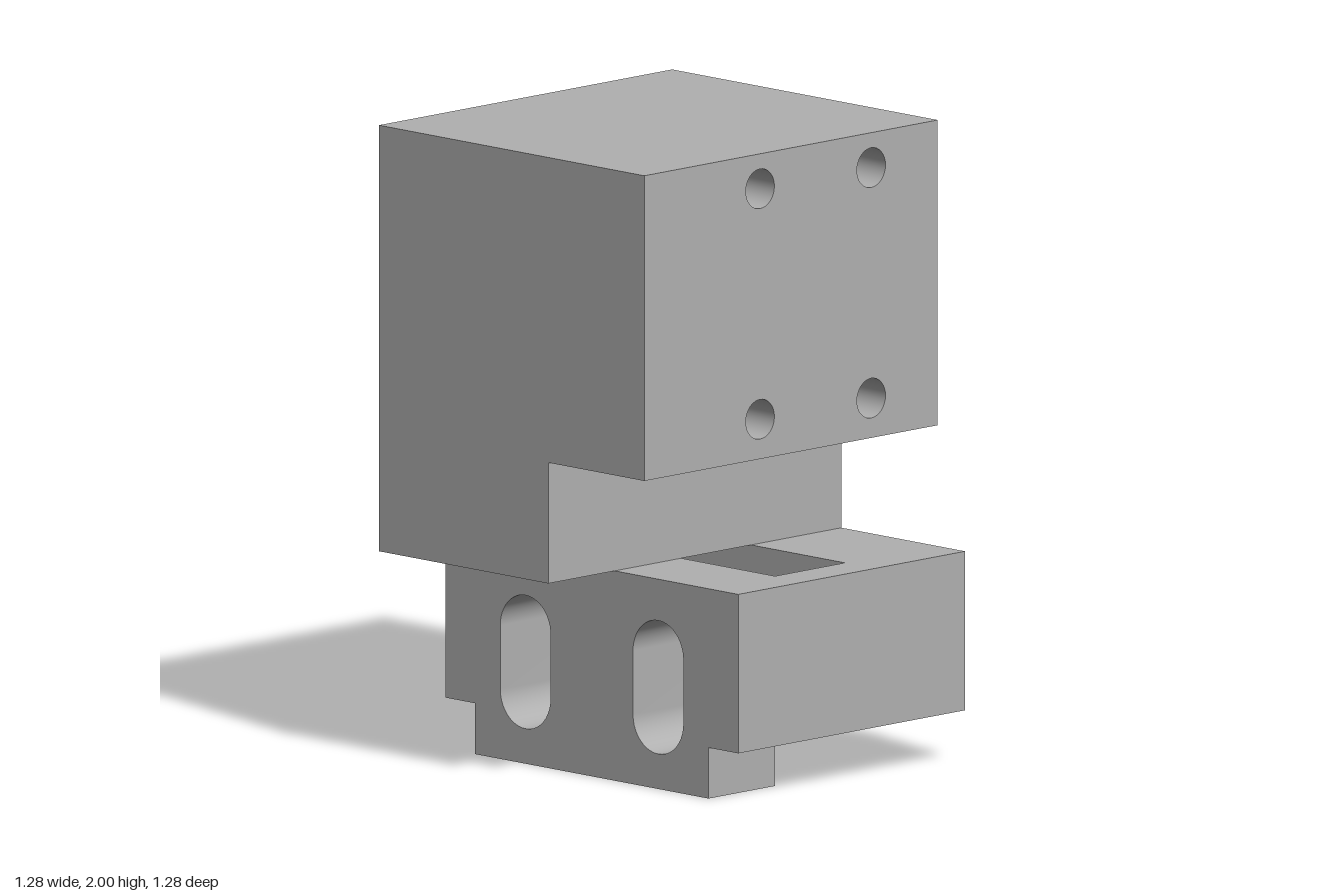
import * as THREE from 'three';
import { mergeGeometries } from 'three/addons/utils/BufferGeometryUtils.js';

// Plane coordinates (u, v) to space: x planes use (z, y), y planes (x, z), z planes (x, y)
const place = {
  x: (u, v, d) => [d, v, u],
  y: (u, v, d) => [u, d, v],
  z: (u, v, d) => [u, v, d],
};
const rect = (u0, u1, v0, v1) => [[u0, v0], [u1, v0], [u1, v1], [u0, v1]];
const toPath = (pts) => pts.map(([u, v]) => new THREE.Vector2(u, v));

function build(pos, index, flip) {
  const g = new THREE.BufferGeometry();
  g.setAttribute('position', new THREE.Float32BufferAttribute(pos, 3));
  if (flip) index.reverse();
  g.setIndex(index);
  g.computeVertexNormals();
  return g;
}

// Flat face on a plane, facing along +axis or -axis
function panel(axis, d, facing, outline, holes = []) {
  const shape = new THREE.Shape(toPath(outline));
  holes.forEach((h) => shape.holes.push(new THREE.Path(toPath(h))));
  const src = new THREE.ShapeGeometry(shape);
  const p = src.attributes.position;
  const pos = [];
  for (let i = 0; i < p.count; i++) pos.push(...place[axis](p.getX(i), p.getY(i), d));
  return build(pos, [...src.index.array], facing !== (axis === 'z' ? 1 : -1));
}

// Inward-facing wall of a bore, swept along the axis
function bore(axis, path, a, b, closed) {
  const pos = [];
  const index = [];
  const n = path.length;
  path.forEach(([u, v]) => pos.push(...place[axis](u, v, a), ...place[axis](u, v, b)));
  for (let i = 0; i < (closed ? n : n - 1); i++) {
    const j = (i + 1) % n;
    index.push(2 * i, 2 * j, 2 * j + 1, 2 * i, 2 * j + 1, 2 * i + 1);
  }
  return build(pos, index, axis === 'z');
}

function arc(cx, cy, r, a0, a1, steps) {
  return Array.from({ length: steps + 1 }, (_, i) => {
    const a = a0 + ((a1 - a0) * i) / steps;
    return [cx + r * Math.cos(a), cy + r * Math.sin(a)];
  });
}

// Slot outline, counter-clockwise from the lower right; start sets where the bottom is cut
const R = 0.11;
const slot = (cx, start) => [
  ...arc(cx, 0.22, R, start, 0, 10),
  ...arc(cx, 0.42, R, 0, Math.PI, 24),
  ...arc(cx, 0.22, R, Math.PI, Math.PI - start, 10),
];

export function createModel() {
  const grey = new THREE.MeshStandardMaterial({ color: 0xb0b0b0 });
  grey.name = 'grey';
  const group = new THREE.Group();
  const add = (name, parts) => {
    const mesh = new THREE.Mesh(mergeGeometries(parts), grey);
    mesh.name = name;
    group.add(mesh);
  };

  const W = 0.64; // half width and half depth
  const F = 0.35; // front of the base
  const C = 0.51; // half width of the cavity and lip
  const Z0 = -0.245, Z1 = 0.06; // cavity back and front
  const END = -0.29; // blind end of the slots
  const cut = -Math.asin(0.06 / R);
  const fullSlots = [-0.29, 0.29].map((x) => slot(x, -Math.PI / 2).slice(0, -1));
  const cutSlots = [-0.29, 0.29].map((x) => slot(x, cut));
  const screws = [];
  for (const z of [0.135, -0.35])
    for (const y of [1.165, 1.89]) screws.push(arc(z, y, 0.0625, 0, Math.PI * 2, 32).slice(0, -1));

  // Overhanging head, its post and the shared back and side walls
  const headProfile = [[-W, 0.66], [0.1, 0.66], [0.1, 1.04], [0.52, 1.04], [0.52, 2], [-W, 2]];
  add('body', [
    panel('z', W, 1, headProfile),
    panel('z', -W, -1, [[-W, 0.16], [W, 0.16], [W, 0.66], ...headProfile.slice(1)]),
    panel('x', -W, -1, [[W, 0.66], [W, 2], [-W, 2], [-W, 0.16], [F, 0.16], [F, 0.66]]),
    panel('x', 0.52, 1, rect(-W, W, 1.04, 2), screws),
    panel('x', 0.1, 1, rect(-W, W, 0.66, 1.04)),
    panel('y', 2, 1, rect(-W, 0.52, -W, W)),
    panel('y', 1.04, -1, rect(0.1, 0.52, -W, W)),
    panel('y', 0.66, -1, rect(-W, 0.1, F, W)),
  ]);

  // Base with the lip hanging below its front
  const notches = cutSlots.flatMap((s) => {
    const left = s[s.length - 1][0], right = s[0][0];
    return [[left, Z0], [left, END], [right, END], [right, Z0]];
  });
  add('base', [
    panel('z', F, 1, [[-W, 0.66], [-W, 0.16], [-C, 0.16], [-C, 0], [C, 0], [C, 0.16], [W, 0.16], [W, 0.66]], fullSlots),
    panel('x', W, 1, rect(-W, F, 0.16, 0.66)),
    panel('y', 0.66, 1, [[0.1, -W], [W, -W], [W, F], [0.1, F], [0.1, Z1], [C, Z1], [C, Z0], [0.1, Z0]]),
    panel('y', 0.16, -1, [[-W, F], [-W, -W], [W, -W], [W, F], [C, F], [C, Z0], ...notches.reverse(), [-C, Z0], [-C, F]]),
    panel('y', 0, -1, rect(-C, C, Z1, F)),
    panel('x', C, 1, rect(Z1, F, 0, 0.16)),
    panel('x', -C, -1, rect(Z1, F, 0, 0.16)),
  ]);

  // Cavity through the base, its front wall running down the back of the lip
  add('cavity', [
    panel('z', Z1, -1, rect(-C, C, 0, 0.66), fullSlots),
    panel('z', Z0, 1, [[-C, 0.66], [-C, 0.16], ...cutSlots.flatMap((s) => [...s].reverse()), [C, 0.16], [C, 0.66]]),
    panel('x', C, -1, rect(Z0, Z1, 0.16, 0.66)),
    panel('x', -C, 1, rect(Z0, Z1, 0.16, 0.66)),
    panel('y', 0.66, -1, rect(-C, 0.1, Z0, Z1)),
  ]);

  // Long slots through the front wall, ending just behind the cavity
  add('mountingSlots', [
    ...fullSlots.map((s) => bore('z', s, Z1, F, true)),
    ...cutSlots.map((s) => bore('z', s, END, Z0, false)),
    ...cutSlots.map((s) => panel('z', END, 1, s)),
  ]);

  // Blind screw holes in the side of the head
  add('screwHoles', screws.flatMap((s) => [
    bore('x', s, 0.27, 0.52, true),
    panel('x', 0.27, 1, s),
  ]));

  return group;
}
